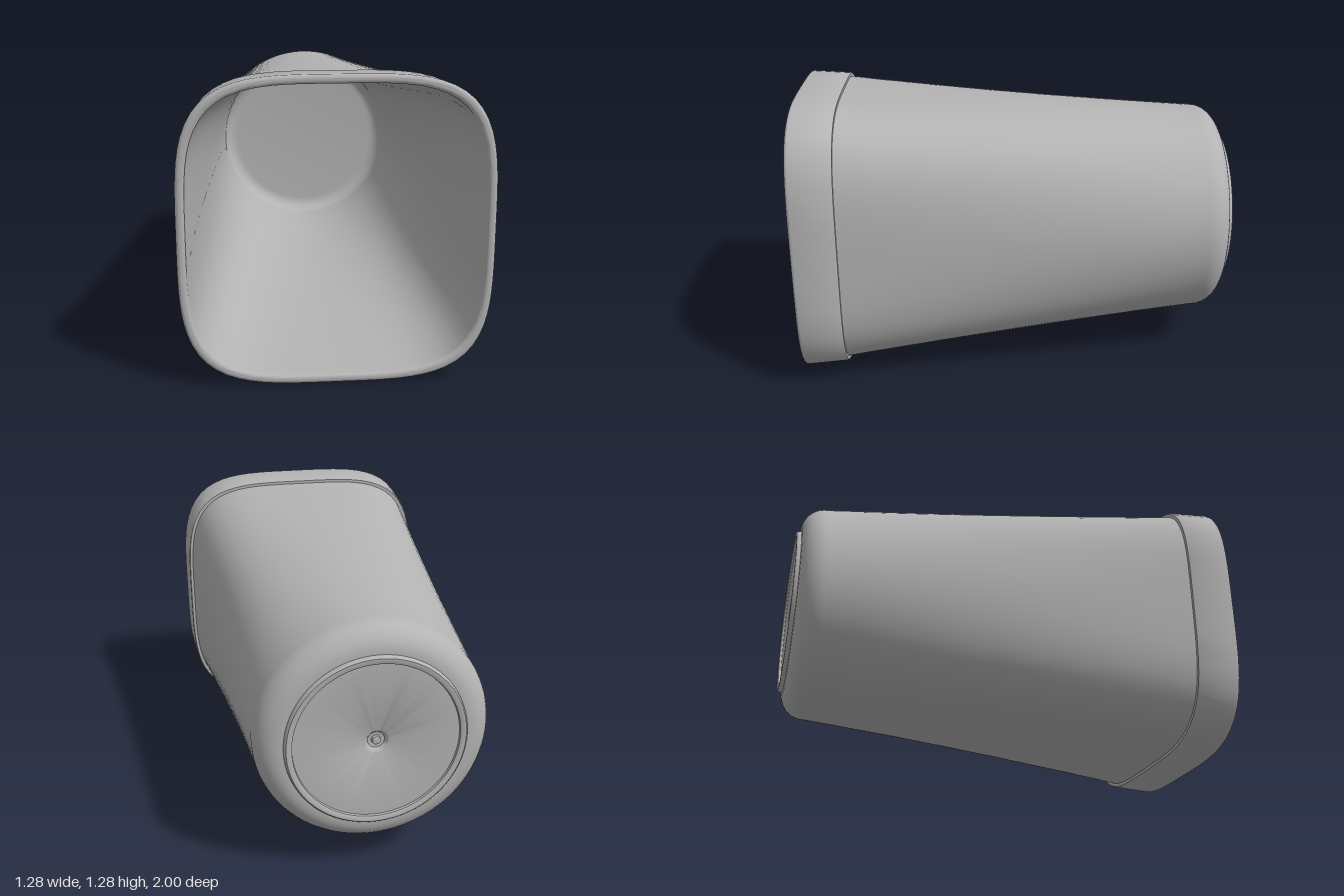
import * as THREE from 'three';
import { toCreasedNormals } from 'three/addons/utils/BufferGeometryUtils.js';

const SEGMENTS = 96;
const CENTRE_Y = 0.645;
const POWER = 3.9; // roundness of the squared mouth

// Radius factor at an angle: circle at the base, rounded square at the mouth.
function sectionFactor(angle, z) {
  const squareness = THREE.MathUtils.clamp((z + 0.87) / 1.67, 0, 1);
  const c = Math.abs(Math.cos(angle)) ** POWER;
  const s = Math.abs(Math.sin(angle)) ** POWER;
  return 1 + squareness * ((c + s) ** (-1 / POWER) - 1);
}

// Sweep a profile of [half width, z] around the z axis.
function loft(profile) {
  const positions = [];
  const index = [];
  profile.forEach(([half, z]) => {
    for (let j = 0; j < SEGMENTS; j++) {
      const angle = (j / SEGMENTS) * Math.PI * 2;
      const r = half * sectionFactor(angle, z);
      positions.push(Math.cos(angle) * r, Math.sin(angle) * r, z);
    }
  });
  for (let i = 0; i < profile.length - 1; i++) {
    for (let j = 0; j < SEGMENTS; j++) {
      const k = (j + 1) % SEGMENTS;
      const a = i * SEGMENTS + j, b = i * SEGMENTS + k;
      const c = a + SEGMENTS, d = b + SEGMENTS;
      if (profile[i][0] > 0) index.push(a, c, b);
      if (profile[i + 1][0] > 0) index.push(b, c, d);
    }
  }
  const geometry = new THREE.BufferGeometry();
  geometry.setAttribute('position', new THREE.Float32BufferAttribute(positions, 3));
  geometry.setIndex(index);
  return toCreasedNormals(geometry, 0.6);
}

// Profile points along an arc, angles in degrees.
function arc(half, z, rx, rz, from, to, steps = 7) {
  return Array.from({ length: steps + 1 }, (_, i) => {
    const t = THREE.MathUtils.degToRad(from + ((to - from) * i) / steps);
    return [half + Math.cos(t) * rx, z + Math.sin(t) * rz];
  });
}

// Evenly spaced points along a straight wall.
function wall(h0, z0, h1, z1, steps = 12) {
  return Array.from({ length: steps + 1 }, (_, i) => {
    const t = i / steps;
    return [h0 + (h1 - h0) * t, z0 + (z1 - z0) * t];
  });
}

export function createModel() {
  const plastic = new THREE.MeshStandardMaterial({ color: 0xb3b3b3 });
  plastic.name = 'grey plastic';
  const group = new THREE.Group();
  group.name = 'tumbler';

  const parts = {
    // Floor, inner fillet and inner wall
    interior: [
      [0, -0.94], [0.39, -0.94],
      ...arc(0.39, -0.87, 0.07, 0.07, -90, 0),
      ...wall(0.46, -0.86, 0.605, 0.985),
    ],
    // Rounded rim with the thick band behind it
    lip: [
      ...arc(0.62, 0.985, 0.015, 0.015, 180, 90, 4),
      ...arc(0.627, 0.985, 0.015, 0.015, 90, 0, 4),
      [0.631, 0.806], [0.627, 0.8], [0.608, 0.8],
    ],
    // Tapered outer wall with the rounded shoulder
    body: [
      ...wall(0.613, 0.8, 0.501, -0.86),
      ...arc(0.391, -0.87, 0.11, 0.11, 0, -90, 9),
      [0.375, -0.98],
    ],
    // Raised foot ring
    footRing: [
      [0.385, -0.978], [0.382, -0.994], [0.376, -1],
      [0.358, -1], [0.352, -0.996], [0.35, -0.985],
    ],
    // Recessed base with a small dimple and nub
    base: [
      [0.352, -0.985], [0.052, -0.985], [0.046, -0.982], [0.036, -0.968],
      [0.02, -0.966], [0.018, -0.978], [0.012, -0.981], [0, -0.981],
    ],
  };

  for (const [name, profile] of Object.entries(parts)) {
    const mesh = new THREE.Mesh(loft(profile), plastic);
    mesh.name = name;
    mesh.position.y = CENTRE_Y;
    group.add(mesh);
  }
  return group;
}
